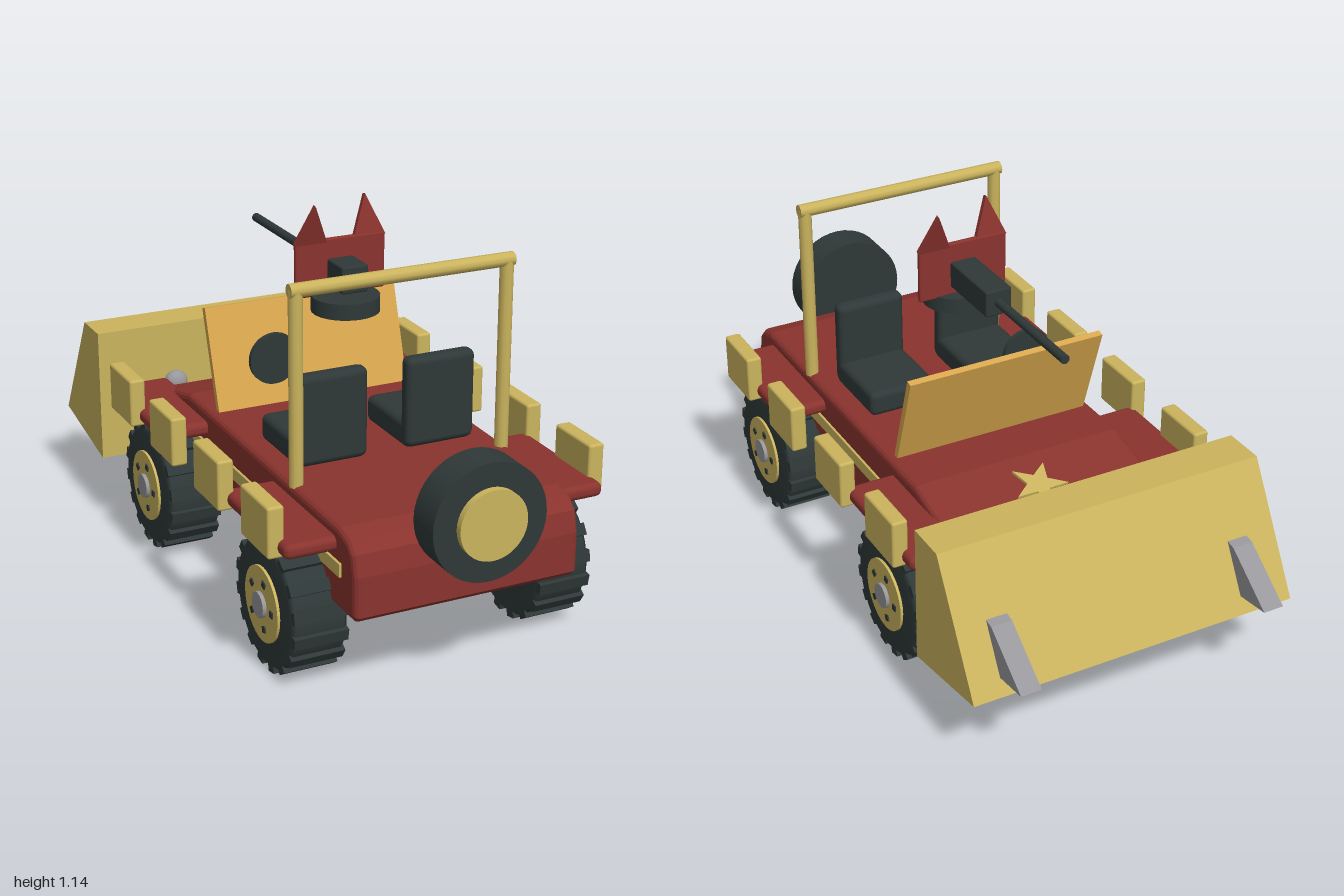
import * as THREE from 'three';
import { RoundedBoxGeometry } from 'three/addons/geometries/RoundedBoxGeometry.js';

const mat = (name, color) => {
  const m = new THREE.MeshStandardMaterial({ color });
  m.name = name;
  return m;
};

export function createModel() {
  const red = mat('dark red paint', 0x8a332e);
  const yellow = mat('sand yellow', 0xcbb45e);
  const amber = mat('amber screen', 0xdaa84f);
  const dark = mat('charcoal rubber', 0x2f3838);
  const grey = mat('steel grey', 0x98989c);

  const model = new THREE.Group();
  model.name = 'armedBuggy';

  const add = (name, geo, material, pos = [0, 0, 0], parent = model) => {
    const mesh = new THREE.Mesh(geo, material);
    mesh.name = name;
    mesh.position.set(...pos);
    parent.add(mesh);
    return mesh;
  };
  // Box given by its x, y and z ranges, with rounded edges
  const block = (name, x, y, z, r, material) =>
    add(name, new RoundedBoxGeometry(x[1] - x[0], y[1] - y[0], z[1] - z[0], 2, r), material,
      [(x[0] + x[1]) / 2, (y[0] + y[1]) / 2, (z[0] + z[1]) / 2]);
  // Side profile of [z, y] points extruded across x, centred on x = 0
  const prism = (points, width, bevel = 0) => {
    const shape = new THREE.Shape(points.map(p => new THREE.Vector2(...p)));
    const geo = new THREE.ExtrudeGeometry(shape, {
      depth: width - 2 * bevel, bevelEnabled: bevel > 0, bevelSize: bevel,
      bevelThickness: bevel, bevelOffset: -bevel, bevelSegments: 3,
    });
    geo.translate(0, 0, -(width - 2 * bevel) / 2);
    return geo.rotateY(-Math.PI / 2);
  };
  const disc = (r, length, segments = 32) => new THREE.CylinderGeometry(r, r, length, segments);

  // Body tub with sloping hood
  add('body', prism([
    [0.865, 0.25], [0.88, 0.265], [0.88, 0.38], [0.865, 0.44], [0.835, 0.47], [0.78, 0.485],
    [-0.25, 0.492], [-0.39, 0.457], [-0.5, 0.427], [-0.55, 0.405], [-0.585, 0.36],
    [-0.575, 0.315], [-0.5, 0.25],
  ], 0.67, 0.018), red);

  // Star lying on the hood slope
  const star = new THREE.Shape();
  for (let i = 0; i < 10; i++) {
    const r = i % 2 ? 0.034 : 0.086;
    const a = Math.PI / 2 + i * Math.PI / 5;
    star[i ? 'lineTo' : 'moveTo'](r * Math.cos(a), r * Math.sin(a));
  }
  const starGeo = new THREE.ExtrudeGeometry(star, { depth: 0.008, bevelEnabled: false });
  add('hoodStar', starGeo, yellow, [0, 0.463, -0.37]).rotation.x = -Math.PI / 2 - 0.245;

  for (const s of [-1, 1]) {
    const span = (a, b) => (s > 0 ? [a, b] : [-b, -a]);
    // Fenders, side stripe and armour plates
    block('frontFender', span(0.3, 0.48), [0.41, 0.453], [-0.52, -0.1], 0.018, red);
    block('rearFender', span(0.3, 0.48), [0.41, 0.453], [0.355, 0.77], 0.018, red);
    block('sideStripe', span(0.33, 0.342), [0.35, 0.39], [-0.5, 0.8], 0.002, yellow);
    for (const z of [-0.375, -0.04, 0.3, 0.632])
      block('armourPlate', span(0.46, 0.508), [0.4, 0.547], [z - 0.09, z + 0.09], 0.008, yellow);
    // Seats
    block('seatBase', span(0.06, 0.275), [0.485, 0.565], [0.147, 0.4], 0.02, dark);
    block('seatBack', span(0.06, 0.275), [0.49, 0.756], [0.357, 0.408], 0.02, dark);
    // Headlights
    const lamp = add('headlight', new THREE.SphereGeometry(0.038, 20, 12), grey, [s * 0.255, 0.412, -0.562]);
    lamp.scale.z = 0.75;
    // Ram teeth
    add('ramTooth', prism([[-0.81, 0.425], [-0.84, 0.42], [-1, 0.305], [-0.86, 0.285]].reverse(), 0.062),
      grey, [s * 0.378, 0, 0]);
    // Roll bar posts
    add('rollBarPost', disc(0.02, 0.56, 10), yellow, [s * 0.318, 0.76, 0.485]);
  }
  add('rollBarTop', disc(0.02, 0.674, 10), yellow, [0, 1.036, 0.485]).rotation.z = Math.PI / 2;

  // Ram blade
  add('ramBlade', prism([[-0.585, 0.185], [-0.585, 0.6], [-0.71, 0.6], [-0.915, 0.245]].reverse(), 1), yellow);

  // Windscreen leaning over the hood
  add('windscreen', prism([[-0.09, 0.48], [-0.07, 0.48], [-0.168, 0.785], [-0.188, 0.78]], 0.62), amber);

  // Steering wheel
  add('steeringWheel', disc(0.077, 0.014), dark, [-0.167, 0.665, 0.005]).rotation.x = Math.PI / 2;

  // Spare wheel on the tail
  add('spareTyre', disc(0.167, 0.105, 40), dark, [0, 0.515, 0.927]).rotation.x = Math.PI / 2;
  add('spareHub', disc(0.099, 0.04, 40), yellow, [0, 0.515, 0.98]).rotation.x = Math.PI / 2;

  // Road wheels, modelled with the outer face towards +x
  const makeWheel = (name, side, z) => {
    const wheel = new THREE.Group();
    wheel.name = name;
    wheel.position.set(side * 0.373, 0.196, z);
    if (side < 0) wheel.rotation.y = Math.PI;
    model.add(wheel);
    const profile = [[0, -0.082], [0.172, -0.082], [0.184, -0.07], [0.184, 0.07], [0.172, 0.082], [0, 0.082]];
    const tyre = new THREE.LatheGeometry(profile.map(p => new THREE.Vector2(...p)), 32).rotateZ(-Math.PI / 2);
    add('tyre', tyre, dark, [0, 0, 0], wheel);
    const treads = 16;
    for (let i = 0; i < treads; i++) {
      const a = (i + 0.5) / treads * Math.PI * 2;
      const tread = add('tread', new THREE.BoxGeometry(0.158, 0.02, 0.034), dark,
        [0, 0.185 * Math.cos(a), 0.185 * Math.sin(a)], wheel);
      tread.rotation.x = a;
    }
    add('hub', disc(0.108, 0.02), yellow, [0.08, 0, 0], wheel).rotation.z = Math.PI / 2;
    add('hubCap', disc(0.037, 0.03, 24), grey, [0.086, 0, 0], wheel).rotation.z = Math.PI / 2;
    for (let i = 0; i < 5; i++) {
      const a = Math.PI + i * Math.PI * 0.4;
      const nut = add('wheelNut', new THREE.BoxGeometry(0.008, 0.018, 0.018), dark,
        [0.09, 0.07 * Math.sin(a), 0.07 * Math.cos(a)], wheel);
      nut.rotation.x = -a;
    }
  };
  for (const side of [-1, 1]) {
    makeWheel('frontWheel', side, -0.303);
    makeWheel('rearWheel', side, 0.57);
  }

  // Gun turret: mount, receiver, barrel and eared shield
  add('turretMount', disc(0.099, 0.047), dark, [0, 0.852, 0.133]);
  block('gunReceiver', [-0.041, 0.041], [0.896, 0.976], [-0.13, 0.197], 0.006, dark);
  add('gunBarrel', disc(0.0135, 0.38, 16), dark, [0, 0.936, -0.308]).rotation.x = Math.PI / 2;
  block('gunShield', [-0.141, 0.141], [0.868, 1.035], [0.085, 0.101], 0.006, red);
  const ear = new THREE.Shape([[-0.05, 0], [0.05, 0], [0, 0.122]].map(p => new THREE.Vector2(...p)));
  for (const s of [-1, 1]) {
    const geo = new THREE.ExtrudeGeometry(ear, { depth: 0.016, bevelEnabled: false }).translate(0, 0, -0.008);
    const mesh = add('shieldEar', geo, red, [s * 0.092, 1.025, 0.093]);
    mesh.rotation.x = -s * 0.27;
  }

  return model;
}
